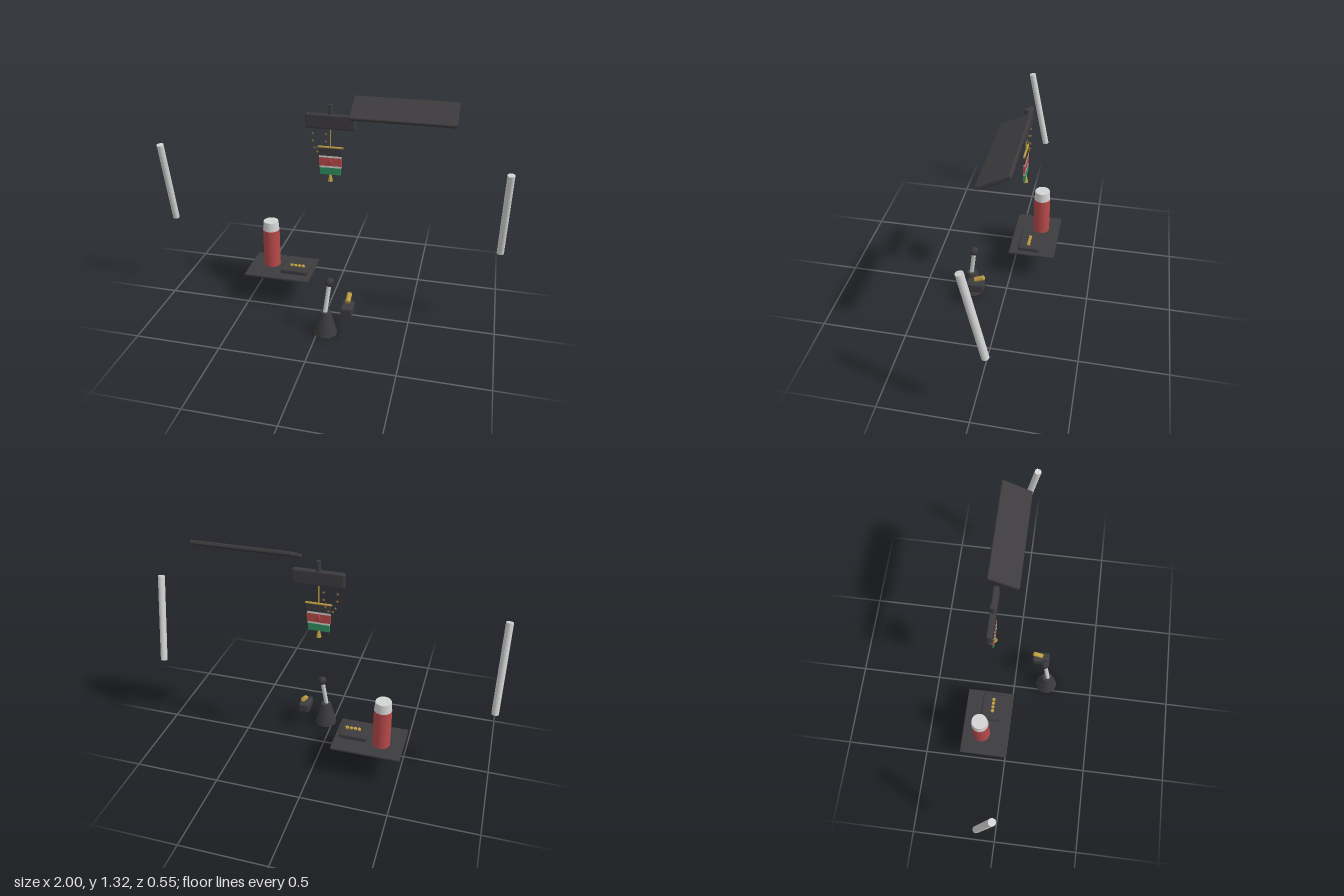
import * as THREE from 'three';
import { RoundedBoxGeometry } from 'three/addons/geometries/RoundedBoxGeometry.js';

const mat = (name, color) => {
  const m = new THREE.MeshStandardMaterial({ color });
  m.name = name;
  return m;
};

export function createModel() {
  const charcoal = mat('charcoal', 0x3d3b3e);
  const white = mat('offWhite', 0xd4d4d4);
  const red = mat('red', 0xb84a4a);
  const green = mat('green', 0x2f8f60);
  const gold = mat('gold', 0xbf9f40);
  const wood = mat('woodBrown', 0x806038);

  const model = new THREE.Group();
  model.name = 'cabinInterior';

  const add = (name, geo, material, x, y, z, parent = model) => {
    const m = new THREE.Mesh(geo, material);
    m.name = name;
    m.position.set(x, y, z);
    parent.add(m);
    return m;
  };
  const group = (name) => {
    const g = new THREE.Group();
    g.name = name;
    model.add(g);
    return g;
  };
  const softBox = (w, h, d, r) => new RoundedBoxGeometry(w, h, d, 2, r);
  const cyl = (rt, rb, h, n = 16) => new THREE.CylinderGeometry(rt, rb, h, n);

  // Leaning grab poles, one on each side
  for (const s of [-1, 1]) {
    const pole = add(s > 0 ? 'leftPole' : 'rightPole', cyl(0.02, 0.02, 0.52), white, s * 0.98, 0.743, -0.036);
    pole.rotation.x = 0.2;
  }

  // Tilted sun visor
  add('sunVisor', softBox(0.567, 0.022, 0.18, 0.007), charcoal, 0.404, 1.27, -0.07).rotation.x = 0.47;

  // Mirror housing and its stem
  add('mirrorHousing', softBox(0.284, 0.085, 0.033, 0.011), charcoal, -0.002, 1.173, -0.106);
  add('mirrorStem', cyl(0.0125, 0.0125, 0.09, 12), charcoal, -0.002, 1.224, -0.106);

  // Striped pennant hanging from the mirror
  const pennant = group('pennant');
  pennant.position.set(-0.002, 0, -0.106);
  add('cord', cyl(0.004, 0.004, 0.12, 8), gold, 0, 1.08, 0, pennant);
  add('hangingRod', cyl(0.006, 0.006, 0.145, 8), gold, 0, 1.023, 0, pennant).rotation.z = Math.PI / 2;
  const stripes = [
    ['topStripe', charcoal, 0.134, 0.995, 0.044],
    ['upperWhiteStripe', white, 0.128, 0.968, 0.012],
    ['middleStripe', red, 0.131, 0.937, 0.05],
    ['lowerWhiteStripe', white, 0.124, 0.907, 0.012],
    ['bottomStripe', green, 0.121, 0.881, 0.042],
  ];
  for (const [name, m, w, y, h] of stripes) {
    add(name, new THREE.BoxGeometry(w, h, 0.009), m, 0, y, 0, pennant);
  }
  add('shield', new THREE.SphereGeometry(1, 12, 8), red, 0, 0.937, 0, pennant).scale.set(0.013, 0.026, 0.009);
  add('tassel', cyl(0.006, 0.014, 0.042, 10), gold, 0, 0.841, 0, pennant);

  // Loop of small beads beside the pennant
  const beads = group('beadLoop');
  const half = [[0.038, 1.095], [0.037, 1.052], [0.027, 1.01], [0.012, 0.988]];
  for (const [dx, y] of half) {
    for (const s of [-1, 1]) {
      add('bead', new THREE.SphereGeometry(0.007, 8, 6), wood, -0.068 + s * dx, y, -0.112, beads);
    }
  }

  // Tray with flask and small device
  add('tray', softBox(0.403, 0.015, 0.284, 0.005), charcoal, -0.313, 0.194, -0.13);
  const flask = group('flask');
  flask.position.set(-0.385, 0, -0.154);
  add('flaskBody', cyl(0.051, 0.051, 0.242, 24), red, 0, 0.322, 0, flask);
  add('flaskCap', cyl(0.045, 0.05, 0.056, 24), white, 0, 0.471, 0, flask);

  const device = group('countingDevice');
  device.position.set(-0.218, 0, -0.109);
  add('deviceCase', softBox(0.166, 0.03, 0.13, 0.01), charcoal, 0, 0.216, 0, device);
  for (let i = 0; i < 4; i++) {
    add('deviceButton', cyl(0.01, 0.011, 0.01, 10), gold, 0.01 + (i - 1.5) * 0.024, 0.234, 0.003, device);
  }

  // Gear lever: tapered boot, slanted stick, faceted knob
  const lever = group('gearLever');
  add('leverBoot', cyl(0.031, 0.068, 0.144, 10), charcoal, 0.045, 0.072, 0.206, lever);
  const from = new THREE.Vector3(0.041, 0.12, 0.213);
  const to = new THREE.Vector3(0.063, 0.325, 0.184);
  const dir = to.clone().sub(from);
  const mid = from.clone().add(to).multiplyScalar(0.5);
  const lean = new THREE.Quaternion().setFromUnitVectors(new THREE.Vector3(0, 1, 0), dir.clone().normalize());
  add('leverStick', cyl(0.013, 0.013, dir.length(), 12), white, mid.x, mid.y, mid.z, lever).quaternion.copy(lean);
  const knob = add('leverKnob', new THREE.SphereGeometry(0.028, 8, 3), charcoal, to.x, 0.327, to.z, lever);
  knob.scale.y = 1.15;

  // Small box with a tilted brass handle
  add('switchBox', softBox(0.065, 0.057, 0.104, 0.009), charcoal, 0.163, 0.147, 0.156);
  add('switchHandle', cyl(0.015, 0.015, 0.06, 8), gold, 0.164, 0.206, 0.133).rotation.x = -1.16;

  return model;
}
